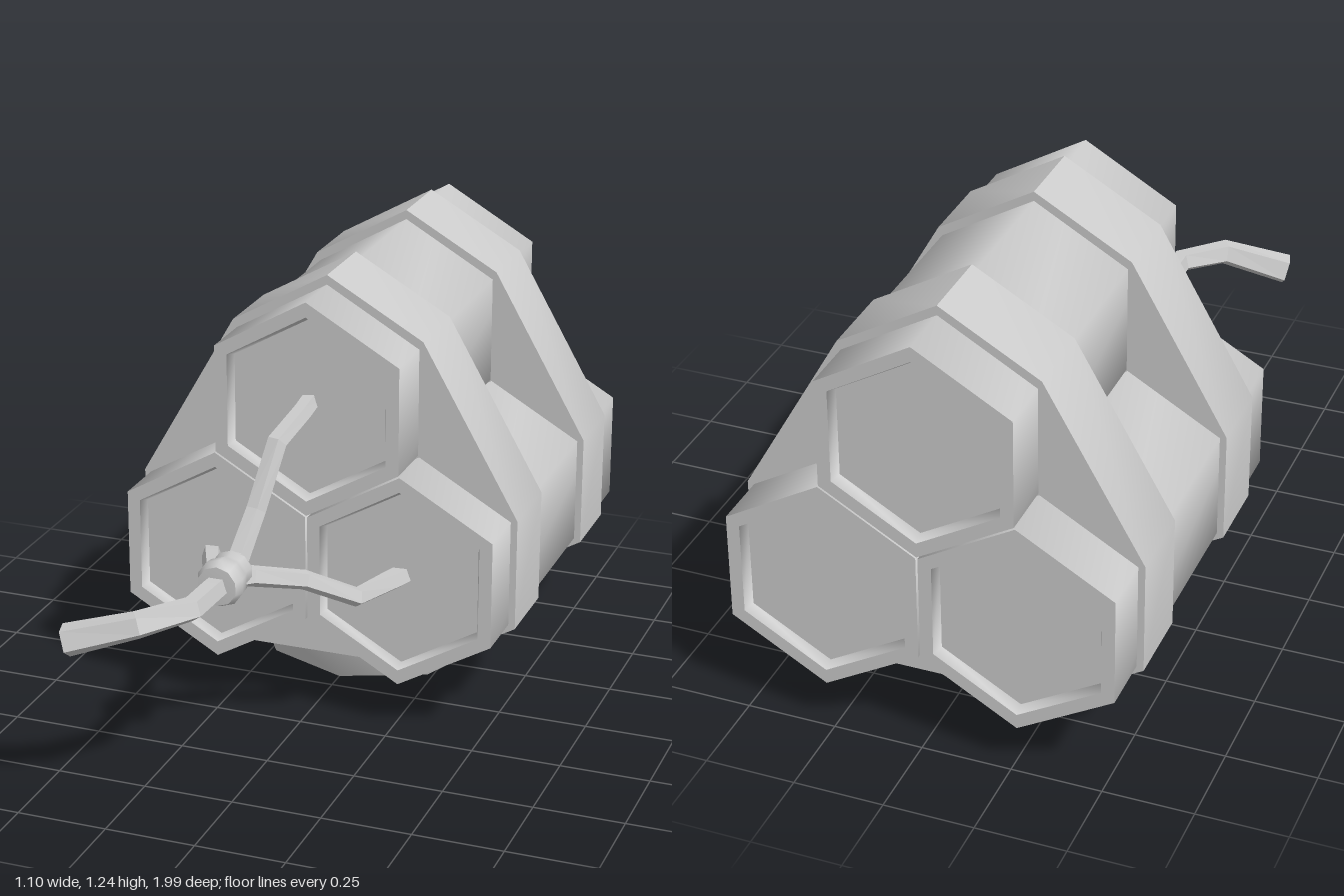
import * as THREE from 'three';
import { toCreasedNormals } from 'three/addons/utils/BufferGeometryUtils.js';

const material = new THREE.MeshStandardMaterial({ color: 0xcccccc });
const flatMaterial = new THREE.MeshStandardMaterial({ color: 0xcccccc, flatShading: true });

function add(parent, name, geometry, mat = material) {
  const mesh = new THREE.Mesh(geometry, mat);
  mesh.name = name;
  parent.add(mesh);
  return mesh;
}

// Few-sided lathe from [radius, height] pairs, sharp above the crease angle
function turned(profile, sides, crease) {
  const points = profile.map(([r, y]) => new THREE.Vector2(r, y));
  return toCreasedNormals(new THREE.LatheGeometry(points, sides), crease);
}

// Bends a five-sided rod along a path of [x, y, z, radius]
function cord(path) {
  const last = path.length - 1;
  const points = path.map(p => new THREE.Vector3(p[0], p[1], p[2]));
  const geometry = new THREE.CylinderGeometry(1, 1, 1, 5, last);
  const pos = geometry.attributes.position;
  const up = new THREE.Vector3(0, 1, 0);
  for (let v = 0; v < pos.count; v++) {
    const i = Math.round((pos.getY(v) + 0.5) * last);
    const tangent = points[Math.min(i + 1, last)].clone().sub(points[Math.max(i - 1, 0)]).normalize();
    const side = up.clone().cross(tangent).normalize();
    const normal = side.clone().cross(tangent);
    const p = points[i].clone()
      .addScaledVector(side, pos.getX(v) * path[i][3])
      .addScaledVector(normal, pos.getZ(v) * path[i][3]);
    pos.setXYZ(v, p.x, p.y, p.z);
  }
  geometry.computeVertexNormals();
  return geometry;
}

export function createModel() {
  const model = new THREE.Group();
  model.name = 'bundle';

  // Three hexagonal sticks with recessed ends
  const stick = turned([
    [0, -0.57], [0.25, -0.57], [0.263, -0.6], [0.305, -0.6],
    [0.305, 0.6], [0.263, 0.6], [0.25, 0.57], [0, 0.57],
  ], 6, 1.1);
  stick.rotateX(Math.PI / 2);
  for (const [name, x, y] of [['topStick', 0, 0.905], ['leftStick', 0.267, 0.443], ['rightStick', -0.267, 0.443]]) {
    add(model, name, stick).position.set(x, y, -0.4);
  }

  // Two bands wrapped around the sticks
  const half = [[0.275, 1.08], [0.55, 0.6], [0.55, 0.28], [0.27, 0.12]];
  const outline = [[0, 1.237], ...half, ...half.map(([x, y]) => [-x, y]).reverse()];
  const bandShape = new THREE.Shape(outline.map(([x, y]) => new THREE.Vector2(x, y)));
  const band = toCreasedNormals(
    new THREE.ExtrudeGeometry(bandShape, { depth: 0.225, bevelEnabled: false }), 0.7);
  add(model, 'frontBand', band).position.z = -0.187;
  add(model, 'backBand', band).position.z = -0.835;

  // Octagonal foot, hollow underneath, with a small central stud
  const foot = turned([
    [0, 0.09], [0.19, 0.09], [0.25, 0], [0.33, 0],
    [0.37, 0.11], [0.3, 0.17], [0, 0.17],
  ], 8, 0.83);
  add(model, 'foot', foot).position.z = -0.39;
  const stud = add(model, 'footStud', new THREE.CylinderGeometry(0.08, 0.06, 0.05, 8), flatMaterial);
  stud.position.set(0, 0.07, -0.39);

  // Three fuses gathered by a knot into one thicker fuse
  add(model, 'topFuse', cord([
    [0, 0.925, 0.15, 0.027], [-0.01, 0.9, 0.2, 0.027], [-0.04, 0.85, 0.31, 0.028],
    [-0.062, 0.69, 0.41, 0.028], [-0.075, 0.59, 0.5, 0.03], [-0.085, 0.56, 0.57, 0.03],
  ]), flatMaterial);
  add(model, 'leftFuse', cord([
    [0.27, 0.45, 0.15, 0.03], [0.245, 0.445, 0.2, 0.03], [0.19, 0.435, 0.31, 0.028],
    [0.07, 0.5, 0.39, 0.028], [-0.04, 0.54, 0.5, 0.03], [-0.085, 0.55, 0.57, 0.03],
  ]), flatMaterial);
  add(model, 'rightFuse', cord([
    [-0.3, 0.43, 0.15, 0.03], [-0.28, 0.435, 0.2, 0.03], [-0.23, 0.445, 0.31, 0.028],
    [-0.14, 0.51, 0.42, 0.028], [-0.105, 0.545, 0.5, 0.03], [-0.085, 0.55, 0.57, 0.03],
  ]), flatMaterial);
  add(model, 'mainFuse', cord([
    [-0.085, 0.55, 0.57, 0.032], [-0.088, 0.553, 0.66, 0.033], [-0.09, 0.555, 0.78, 0.034],
    [-0.19, 0.545, 0.9, 0.038], [-0.37, 0.495, 0.95, 0.046],
  ]), flatMaterial);

  const knot = turned([
    [0, -0.065], [0.05, -0.065], [0.06, -0.045], [0.052, -0.025],
    [0.063, 0.005], [0.066, 0.035], [0.055, 0.06], [0, 0.063],
  ], 10, 1.1);
  knot.rotateX(Math.PI / 2);
  add(model, 'fuseKnot', knot).position.set(-0.085, 0.555, 0.568);

  return model;
}
